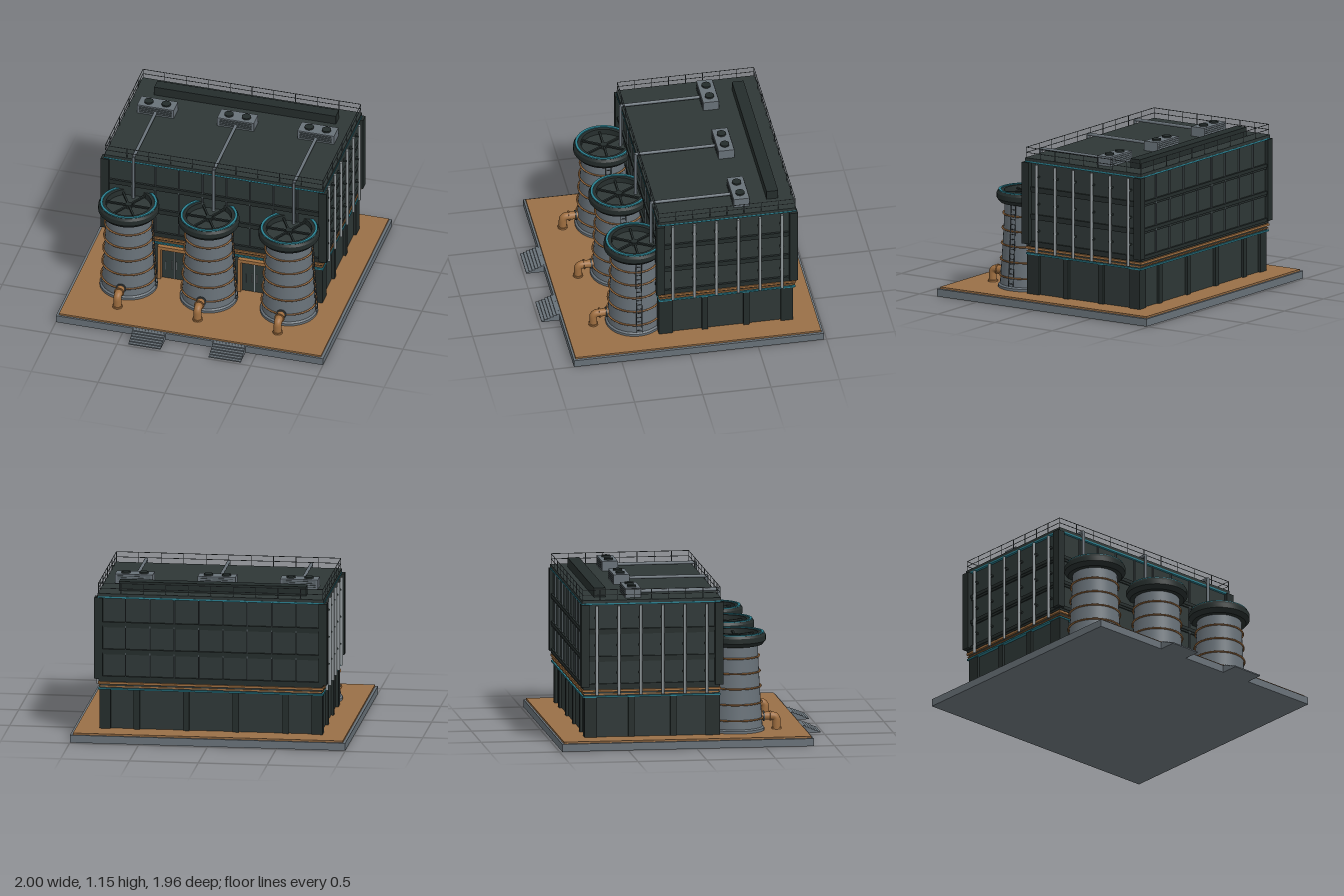
import * as THREE from 'three';
import { toCreasedNormals } from 'three/addons/utils/BufferGeometryUtils.js';

const mat = (name, color, side = THREE.FrontSide) => {
  const m = new THREE.MeshStandardMaterial({ color, side });
  m.name = name;
  return m;
};

export function createModel() {
  const dark = mat('dark wall', 0x2e3736);
  const black = mat('dark trim', 0x242c2b);
  const grey = mat('concrete grey', 0x687178, THREE.DoubleSide);
  const mid = mat('mullion grey', 0x475053);
  const pale = mat('pale pipe', 0x90979a);
  const copper = mat('copper', 0xa06f40);
  const deckMat = mat('copper deck', 0x996f47);
  const teal = mat('teal trim', 0x2b8090);

  const root = new THREE.Group();
  const group = (name, parent = root) => {
    const g = new THREE.Group();
    g.name = name;
    parent.add(g);
    return g;
  };
  const add = (parent, name, geo, material, x = 0, y = 0, z = 0) => {
    const m = new THREE.Mesh(geo, material);
    m.name = name;
    m.position.set(x, y, z);
    parent.add(m);
    return m;
  };
  // Box given by its minimum and maximum on each axis
  const box = (parent, name, material, x0, x1, y0, y1, z0, z1) =>
    add(parent, name, new THREE.BoxGeometry(x1 - x0, y1 - y0, z1 - z0), material,
      (x0 + x1) / 2, (y0 + y1) / 2, (z0 + z1) / 2);
  // Round bar between two points
  const rod = (parent, name, material, a, b, r, seg = 10) => {
    const p = new THREE.Vector3(...a), q = new THREE.Vector3(...b), d = q.clone().sub(p);
    const m = add(parent, name, new THREE.CylinderGeometry(r, r, d.length(), seg), material);
    m.position.copy(p).add(q).multiplyScalar(0.5);
    m.quaternion.setFromUnitVectors(new THREE.Vector3(0, 1, 0), d.normalize());
    return m;
  };
  const lathe = (pts, seg = 40) => toCreasedNormals(
    new THREE.LatheGeometry(pts.map(p => new THREE.Vector2(...p)), seg), 0.5);

  // Ground slab, deck and steps
  const base = group('base');
  box(base, 'slab', grey, -1, 1, 0, 0.055, -0.98, 0.85);
  box(base, 'deck', deckMat, -0.98, 0.98, 0.055, 0.068, -0.965, 0.835);
  for (const x of [-0.3, 0.3])
    for (let i = 0; i < 6; i++)
      box(base, 'step', grey, x - 0.12, x + 0.12, 0, 0.054 - i * 0.009, 0.85, 0.872 + i * 0.0216);

  // Lower storey
  const Z0 = -0.81, Z1 = 0.2, ZC = (Z0 + Z1) / 2;
  const lower = group('lowerStorey');
  box(lower, 'lowerWall', dark, -0.79, 0.79, 0.06, 0.38, -0.77, 0.175);
  for (const s of [-1, 1]) {
    const a = s > 0 ? 0.73 : -0.81;
    box(lower, 'cornerPier', black, a, a + 0.08, 0.06, 0.365, 0.09, 0.193);
    box(lower, 'cornerPier', black, a, a + 0.08, 0.06, 0.365, -0.79, -0.7);
    for (const z of [-0.145, -0.45])
      box(lower, 'sidePier', black, s > 0 ? 0.78 : -0.81, s > 0 ? 0.81 : -0.78, 0.06, 0.36, z - 0.022, z + 0.022);
  }
  for (const x of [-0.54, -0.18, 0.18, 0.54])
    box(lower, 'backPier', black, x - 0.022, x + 0.022, 0.06, 0.36, -0.79, -0.76);

  // Double doors with copper surrounds
  for (const x of [-0.3, 0.3]) {
    const door = group('door');
    door.position.x = x;
    for (const s of [-1, 1]) {
      box(door, 'doorLeaf', dark, s * 0.048 - 0.045, s * 0.048 + 0.045, 0.068, 0.325, 0.17, 0.187);
      box(door, 'doorJamb', copper, s * 0.107 - 0.011, s * 0.107 + 0.011, 0.068, 0.33, 0.17, 0.215);
      box(door, 'doorHandle', pale, s * 0.018 - 0.003, s * 0.018 + 0.003, 0.15, 0.22, 0.187, 0.196);
      box(door, 'doorPull', mid, s * 0.065 - 0.003, s * 0.065 + 0.003, 0.14, 0.21, 0.187, 0.192);
    }
    box(door, 'doorSeam', pale, -0.003, 0.003, 0.068, 0.325, 0.18, 0.189);
    box(door, 'doorLintel', copper, -0.118, 0.118, 0.325, 0.352, 0.17, 0.22);
  }

  // Upper storey with wraparound bands
  const upper = group('upperStorey');
  box(upper, 'upperWall', dark, -0.805, 0.805, 0.36, 1.045, Z0 + 0.015, Z1 - 0.015);
  const band = (name, material, y0, y1, out) =>
    box(upper, name, material, -0.805 - out, 0.805 + out, y0, y1, Z0 + 0.015 - out, Z1 - 0.015 + out);
  band('tealBand', teal, 0.359, 0.37, 0.012);
  band('copperBandLow', copper, 0.379, 0.387, 0.008);
  band('copperBand', copper, 0.4, 0.415, 0.014);
  for (const y of [0.44, 0.64, 0.84]) {
    band('beam', black, y - 0.02, y - 0.005, 0.01);
    band('beam', black, y - 0.005, y + 0.02, 0.016);
  }
  band('tealTopBand', teal, 1.036, 1.048, 0.018);
  band('roof', dark, 1.048, 1.07, 0.016);
  for (const sx of [-1, 1])
    for (const front of [true, false]) {
      const x0 = sx > 0 ? 0.785 : -0.845, z0 = front ? 0.155 : -0.82;
      box(upper, 'cornerPost', black, x0, x0 + 0.06, 0.44, 1.04, z0, z0 + 0.06);
    }
  for (let i = 0; i < 8; i++) {
    const x = (i - 3.5) * 0.177;
    for (const z of [Z0 + 0.012, Z1 - 0.012])
      box(upper, 'mullion', mid, x - 0.004, x + 0.004, 0.44, 1.036, z - 0.009, z + 0.009);
  }

  // Pale vertical pipes on both side walls
  for (const s of [-1, 1])
    for (let i = 0; i < 6; i++) {
      const z = 0.095 - i * 0.16;
      rod(upper, 'sidePipe', pale, [s * 0.832, 0.38, z], [s * 0.832, 1.03, z], 0.011);
      for (const y of [0.54, 0.74, 0.94])
        box(upper, 'pipeBracket', black, s * 0.818 - 0.015, s * 0.818 + 0.015, y - 0.006, y + 0.006, z - 0.013, z + 0.013);
    }

  // Roof equipment
  const roof = group('roofEquipment');
  box(roof, 'roofDuct', black, -0.68, 0.68, 1.07, 1.138, -0.705, -0.62);
  for (const x of [-0.6, 0, 0.6]) {
    box(roof, 'ventUnit', grey, x - 0.137, x + 0.137, 1.07, 1.14, -0.485, -0.37);
    for (let i = 0; i < 4; i++)
      for (const z of [-0.487, -0.368])
        box(roof, 'ventLouvre', mid, x - 0.12, x + 0.12, 1.082 + i * 0.014, 1.087 + i * 0.014, z - 0.003, z + 0.003);
    for (const dx of [-0.065, 0.065])
      add(roof, 'ventFan', new THREE.CylinderGeometry(0.033, 0.033, 0.014, 20), black, x + dx, 1.145, -0.428);
    rod(roof, 'roofPipe', grey, [x, 1.095, -0.37], [x, 1.095, 0.213], 0.012);
    rod(roof, 'downPipe', grey, [x, 1.1, 0.213], [x, 0.74, 0.213], 0.011);
  }

  // Roof railing
  const rail = group('railing');
  const rx = 0.815, ra = Z0 + 0.005, rb = Z1 - 0.005;
  for (const y of [1.108, 1.146]) {
    for (const z of [ra, rb]) rod(rail, 'rail', mid, [-rx, y, z], [rx, y, z], 0.0025, 6);
    for (const x of [-rx, rx]) rod(rail, 'rail', mid, [x, y, ra], [x, y, rb], 0.0025, 6);
  }
  for (let i = 0; i <= 10; i++)
    for (const z of [ra, rb]) {
      const x = -rx + i * rx / 5;
      rod(rail, 'railPost', mid, [x, 1.07, z], [x, 1.147, z], 0.0025, 6);
    }
  for (let i = 1; i < 8; i++)
    for (const x of [-rx, rx]) {
      const z = ra + i * (rb - ra) / 8;
      rod(rail, 'railPost', mid, [x, 1.07, z], [x, 1.147, z], 0.0025, 6);
    }

  // Cooling towers
  const radius = y => 0.162 + 0.036 * Math.pow((0.7 - y) / 0.63, 1.3);
  const shell = [];
  for (let i = 0; i <= 10; i++) shell.push([radius(0.07 + i * 0.063), 0.07 + i * 0.063]);
  for (const x of [-0.6, 0, 0.6]) {
    const t = group('coolingTower');
    t.position.set(x, 0, 0.335);
    add(t, 'towerShell', lathe(shell), grey);
    add(t, 'towerFoot', lathe([[0.19, 0.1], [0.205, 0.09], [0.209, 0.086], [0.209, 0.06]].reverse()), grey);
    for (const y of [0.16, 0.275, 0.39, 0.5, 0.61])
      add(t, 'copperHoop', new THREE.TorusGeometry(radius(y) + 0.008, 0.0065, 8, 40), copper, 0, y).rotation.x = Math.PI / 2;
    add(t, 'towerRim', lathe([[0.155, 0.695], [0.195, 0.695], [0.22, 0.725], [0.22, 0.762],
      [0.208, 0.78], [0.165, 0.78], [0.16, 0.735]]), black);
    add(t, 'tealRing', lathe([[0.206, 0.778], [0.206, 0.787], [0.188, 0.787], [0.188, 0.778]]), teal);
    add(t, 'fanFloor', new THREE.CylinderGeometry(0.162, 0.162, 0.01, 40), dark, 0, 0.735);
    add(t, 'fanHub', new THREE.CylinderGeometry(0.025, 0.025, 0.03, 16), black, 0, 0.753);
    for (let i = 0; i < 3; i++)
      add(t, 'fanSpoke', new THREE.BoxGeometry(0.325, 0.012, 0.014), black, 0, 0.758).rotation.y = i * Math.PI / 3;

    // Outlet pipe with elbow
    const path = new THREE.CurvePath();
    const v = (y, z) => new THREE.Vector3(0, y, z);
    path.add(new THREE.LineCurve3(v(0.163, 0.17), v(0.163, 0.265)));
    path.add(new THREE.QuadraticBezierCurve3(v(0.163, 0.265), v(0.163, 0.3), v(0.128, 0.3)));
    path.add(new THREE.LineCurve3(v(0.128, 0.3), v(0.06, 0.3)));
    add(t, 'outletPipe', new THREE.TubeGeometry(path, 30, 0.029, 16), copper);
    add(t, 'outletFoot', new THREE.CylinderGeometry(0.036, 0.036, 0.012, 20), copper, 0, 0.074, 0.3);
    for (const [z, m] of [[0.255, copper], [0.205, mid]])
      add(t, 'outletFlange', new THREE.CylinderGeometry(0.037, 0.037, 0.01, 20), m, 0, 0.163, z).rotation.x = Math.PI / 2;

    // Ladder following the tower's slope
    const lad = group('ladder', t);
    const off = 0.014;
    for (const z of [-0.02, 0.02])
      for (let i = 0; i < 4; i++) {
        const a = 0.1 + i * 0.148, b = a + 0.148;
        rod(lad, 'ladderRail', mid, [radius(a) + off, a, z], [radius(b) + off, b, z], 0.003, 6);
      }
    for (let i = 0; i < 16; i++) {
      const y = 0.12 + i * 0.036;
      rod(lad, 'ladderRung', mid, [radius(y) + off, y, -0.02], [radius(y) + off, y, 0.02], 0.0025, 6);
    }
  }
  return root;
}
